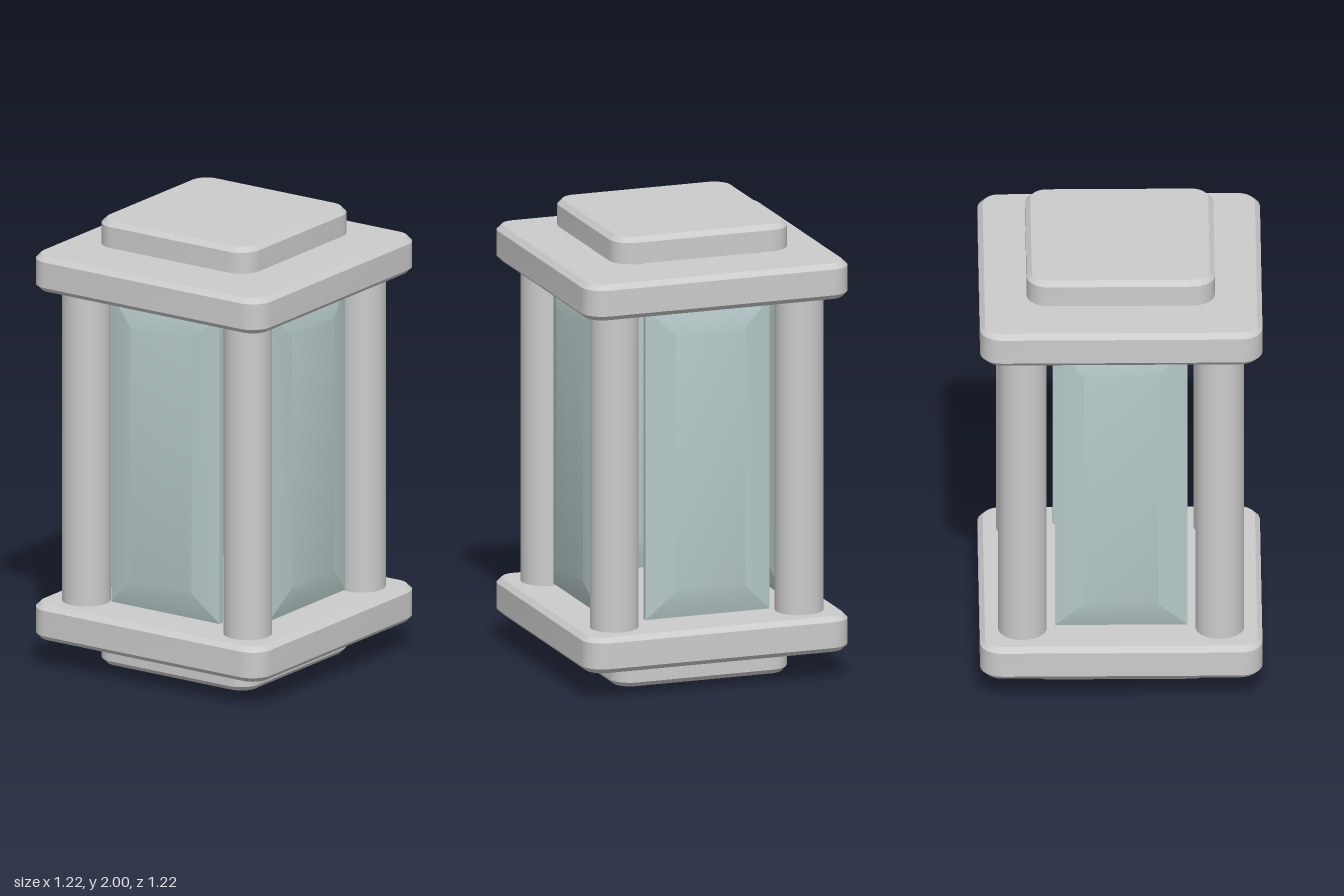
import * as THREE from 'three';
import { toCreasedNormals } from 'three/addons/utils/BufferGeometryUtils.js';

const metal = new THREE.MeshStandardMaterial({ color: 0xcccccc });
const glass = new THREE.MeshStandardMaterial({ color: 0xb6c8c8 });

// Rounded rectangle in the xz plane, counter-clockwise from above (r = 0 gives 4 corners)
function outline(hw, hd, r) {
  const steps = r > 0 ? 8 : 0;
  const pts = [];
  [[1, 1], [-1, 1], [-1, -1], [1, -1]].forEach(([sx, sy], q) => {
    for (let i = 0; i <= steps; i++) {
      const a = (q + (steps ? i / steps : 0)) * Math.PI / 2;
      pts.push([sx * (hw - r) + r * Math.cos(a), -(sy * (hd - r) + r * Math.sin(a))]);
    }
  });
  return pts;
}

// Capped solid from stacked sections [y, halfWidth, halfDepth, cornerRadius], bottom to top
function loft(sections) {
  const rings = sections.map(([y, hw, hd, r]) =>
    outline(hw, hd, r).map(([x, z]) => [x, y, z]));
  const pos = [];
  const tri = (a, b, c) => pos.push(...a, ...b, ...c);
  const n = rings[0].length;
  const last = rings.length - 1;
  const bottom = [0, sections[0][0], 0];
  const top = [0, sections[last][0], 0];
  for (let i = 0; i < n; i++) {
    const j = (i + 1) % n;
    for (let k = 0; k < last; k++) {
      tri(rings[k][i], rings[k][j], rings[k + 1][j]);
      tri(rings[k][i], rings[k + 1][j], rings[k + 1][i]);
    }
    tri(bottom, rings[0][j], rings[0][i]);
    tri(top, rings[last][i], rings[last][j]);
  }
  const geo = new THREE.BufferGeometry();
  geo.setAttribute('position', new THREE.Float32BufferAttribute(pos, 3));
  return toCreasedNormals(geo, 0.3);
}

// Rounded square slab with an optional chamfer at its bottom and top rim
function slab(half, y0, y1, r, lowChamfer, highChamfer) {
  const c = 0.022;
  const sections = [];
  if (lowChamfer) sections.push([y0, half - c, half - c, r - c]);
  sections.push([lowChamfer ? y0 + c : y0, half, half, r]);
  sections.push([highChamfer ? y1 - c : y1, half, half, r]);
  if (highChamfer) sections.push([y1, half - c, half - c, r - c]);
  return loft(sections);
}

export function createModel() {
  const model = new THREE.Group();
  const add = (name, geo, mat = metal, parent = model) => {
    const mesh = new THREE.Mesh(geo, mat);
    mesh.name = name;
    parent.add(mesh);
    return mesh;
  };

  // Foot, two matching plates and the raised cap
  add('foot', slab(0.405, 0, 0.127, 0.095, true, false));
  add('basePlate', slab(0.608, 0.127, 0.286, 0.095, true, true));
  add('roofPlate', slab(0.608, 1.696, 1.855, 0.095, true, true));
  add('cap', slab(0.405, 1.884, 2, 0.095, false, true));

  // Corner pillars and the small spacers that lift the cap
  const pillar = new THREE.CylinderGeometry(0.105, 0.105, 1.41, 40);
  const spacer = new THREE.CylinderGeometry(0.042, 0.042, 0.04, 24);
  for (const sx of [-1, 1]) {
    for (const sz of [-1, 1]) {
      add('pillar', pillar).position.set(sx * 0.425, 0.991, sz * 0.425);
      add('capSpacer', spacer).position.set(sx * 0.268, 1.869, sz * 0.268);
    }
  }

  // Bevelled glass panes, one between each pair of pillars
  const pane = loft([
    [-0.045, 0.16, 0.57, 0],
    [-0.012, 0.285, 0.692, 0],
    [0.012, 0.285, 0.692, 0],
    [0.045, 0.16, 0.57, 0],
  ]).rotateX(Math.PI / 2).translate(0, 0.997, 0.425);
  for (let i = 0; i < 4; i++) {
    add('glassPane', pane, glass).rotation.y = i * Math.PI / 2;
  }

  return model;
}
